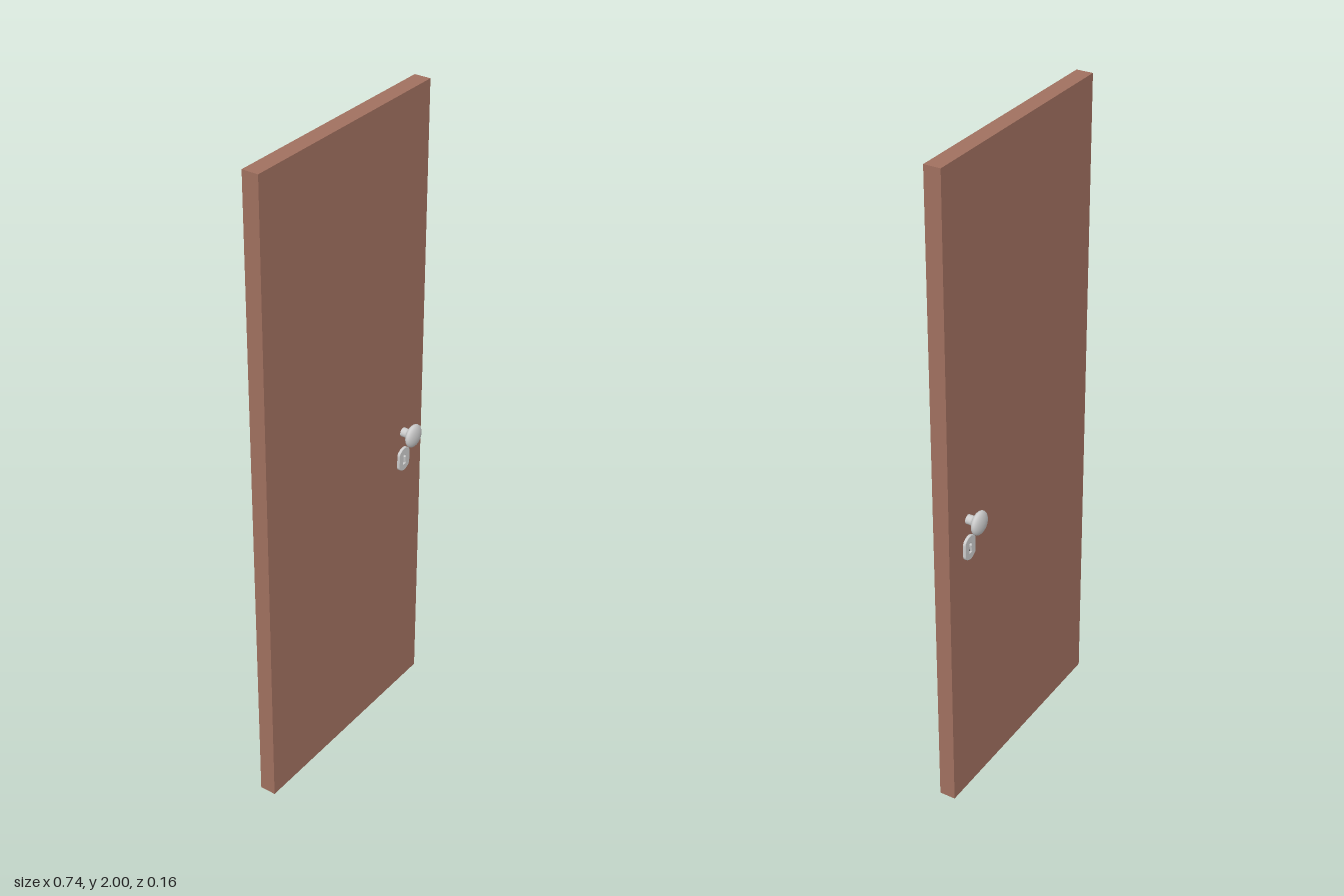
import * as THREE from 'three';

const FACE = 0.025; // half the door thickness

function makeMesh(name, geometry, color) {
  const mesh = new THREE.Mesh(geometry, new THREE.MeshStandardMaterial({ color }));
  mesh.name = name;
  return mesh;
}

// Round hole above a flared slot
function keyhole(path) {
  path.moveTo(-0.008, -0.018);
  path.lineTo(0.008, -0.018);
  path.lineTo(0.004, 0.003);
  path.absarc(0, 0.009, 0.0075, -0.95, Math.PI + 0.95, false);
  path.lineTo(-0.004, 0.003);
  path.closePath();
  return path;
}

// Plate outline: rounded ends with small shoulders at the sides
function plateShape() {
  const s = new THREE.Shape();
  s.moveTo(-0.017, -0.031);
  s.quadraticCurveTo(0, -0.043, 0.017, -0.031);
  s.quadraticCurveTo(0.025, -0.026, 0.025, -0.017);
  s.lineTo(0.025, 0.017);
  s.quadraticCurveTo(0.025, 0.026, 0.017, 0.031);
  s.quadraticCurveTo(0, 0.043, -0.017, 0.031);
  s.quadraticCurveTo(-0.025, 0.026, -0.025, 0.017);
  s.lineTo(-0.025, -0.017);
  s.quadraticCurveTo(-0.025, -0.026, -0.017, -0.031);
  s.holes.push(keyhole(new THREE.Path()));
  return s;
}

function makeKnob() {
  // Stem flaring into a flattened ball
  const profile = [[0.014, 0.023], [0.014, 0.04], [0.0155, 0.045], [0.019, 0.0485]]
    .map(([r, h]) => new THREE.Vector2(r, h));
  for (let i = 0; i <= 18; i++) {
    const a = -0.95 + (0.95 + Math.PI / 2) * i / 18;
    profile.push(new THREE.Vector2(Math.max(0, 0.036 * Math.cos(a)), 0.062 + 0.0155 * Math.sin(a)));
  }
  const geometry = new THREE.LatheGeometry(profile, 40);
  geometry.rotateX(Math.PI / 2);
  return makeMesh('knob', geometry, 0xcccccc);
}

function makeHardware(name) {
  const group = new THREE.Group();
  group.name = name;
  const knob = makeKnob();
  knob.position.y = 0.94;

  const plate = makeMesh('keyholePlate', new THREE.ExtrudeGeometry(plateShape(), {
    depth: 0.006, bevelEnabled: true, bevelThickness: 0.002, bevelSize: 0.0015, bevelSegments: 2, curveSegments: 12,
  }), 0xcccccc);
  plate.position.set(0, 0.848, FACE);

  // Dark recess seen through the keyhole
  const recess = makeMesh('keyholeRecess', new THREE.ShapeGeometry(keyhole(new THREE.Shape())), 0x151515);
  recess.position.set(0, 0.848, FACE + 0.001);

  group.add(knob, plate, recess);
  group.position.x = 0.275;
  return group;
}

export function createModel() {
  const model = new THREE.Group();
  model.name = 'door';

  const panel = makeMesh('doorPanel', new THREE.BoxGeometry(0.74, 2, FACE * 2), 0xa0705f);
  panel.position.y = 1;

  // Matching knob and keyhole on both faces
  const front = makeHardware('frontHardware');
  const back = makeHardware('backHardware');
  back.rotation.y = Math.PI;

  model.add(panel, front, back);
  return model;
}
